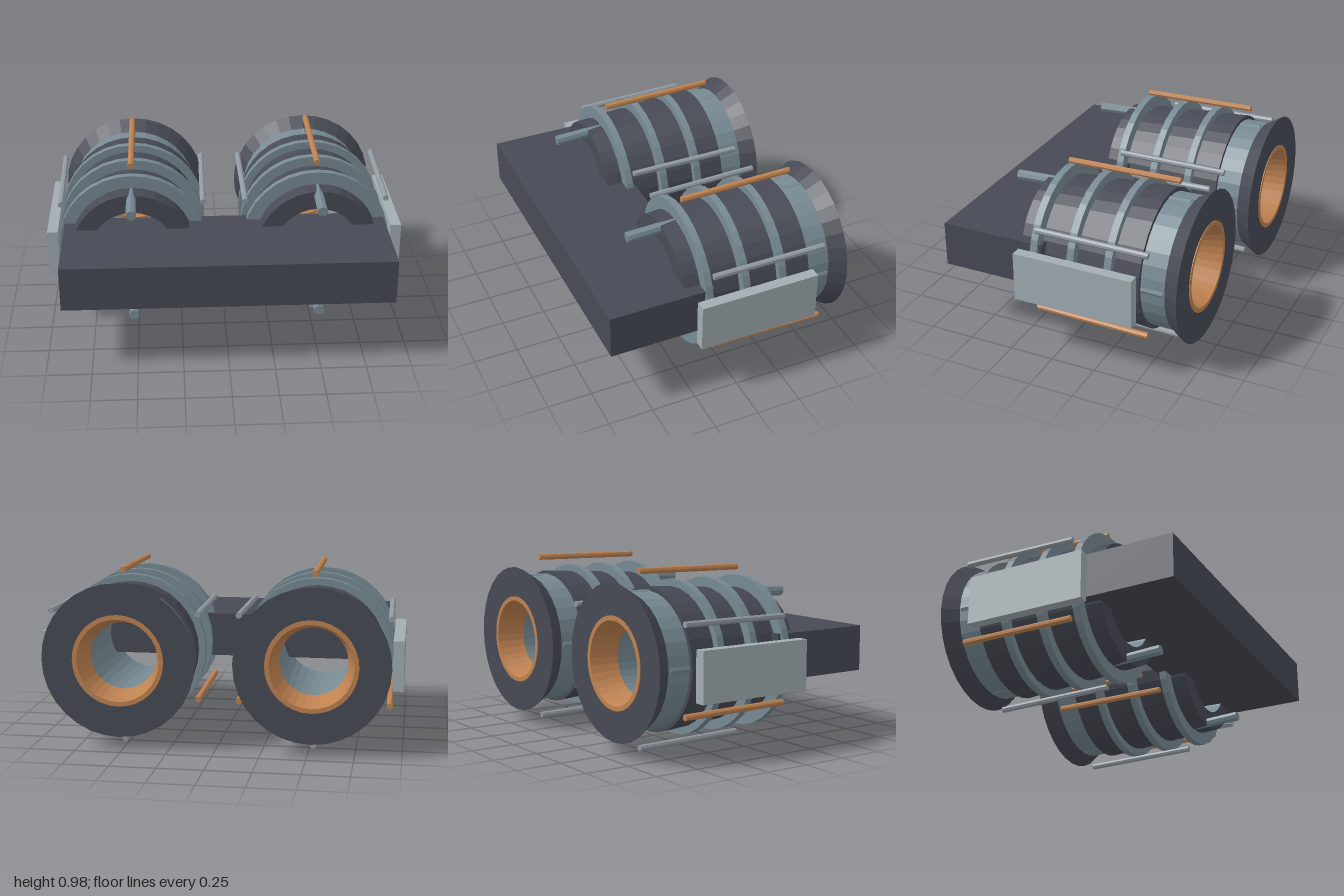
import * as THREE from 'three';

const mat = (name, color, flatShading = true) => {
  const m = new THREE.MeshStandardMaterial({ color, flatShading });
  m.name = name;
  return m;
};

export function createModel() {
  const model = new THREE.Group();
  const dark = mat('charcoal', 0x474a55);
  const steel = mat('blueGrey', 0x778a93);
  const silver = mat('silver', 0x929ba3);
  const copper = mat('copper', 0xbf8250);
  const pale = mat('paleGrey', 0xa2adb2);

  const add = (parent, name, geometry, material) => {
    const mesh = new THREE.Mesh(geometry, material);
    mesh.name = name;
    parent.add(mesh);
    return mesh;
  };

  // Profile of [radius, z] turned around the z axis
  const turned = (points) => new THREE.LatheGeometry(
    points.map(([r, z]) => new THREE.Vector2(r, z)), 32).rotateX(Math.PI / 2);

  // Rod lying along z at an angle, flaring outward toward the back
  const rod = (parent, name, angle, [r0, z0], [r1, z1], front, back, material) => {
    const length = Math.hypot(z0 - z1, r1 - r0);
    const g = new THREE.CylinderGeometry(front, back, length, 8);
    g.rotateX(Math.PI / 2);
    g.rotateY(-Math.atan2(r1 - r0, z0 - z1));
    g.translate((r0 + r1) / 2, 0, (z0 + z1) / 2);
    g.rotateZ(angle);
    add(parent, name, g, material);
  };

  const box = (name, w, h, d, x, y, z, material) =>
    add(model, name, new THREE.BoxGeometry(w, h, d), material).position.set(x, y, z);

  for (const side of [1, -1]) {
    const engine = new THREE.Group();
    engine.name = side > 0 ? 'leftEngine' : 'rightEngine';
    engine.position.set(side * 0.52, 0.493, 0);
    model.add(engine);

    // Tapered casing, rear neck and flared nozzle
    add(engine, 'casing', turned([[0.36, -0.465], [0.388, -0.465], [0.34, 0.245], [0.235, 0.245]]), dark);
    add(engine, 'neck', turned([[0.367, -0.6], [0.365, -0.45]]), steel);
    add(engine, 'nozzle', turned([[0.245, -0.686], [0.42, -0.686], [0.36, -0.588]]), dark);

    // Open bore with a copper throat at the back
    add(engine, 'boreLiner', turned([[0.235, 0.245], [0.205, -0.54]]), steel);
    add(engine, 'throat', turned([[0.206, -0.54], [0.185, -0.54], [0.225, -0.69], [0.25, -0.69], [0.25, -0.68]]), copper);

    // Reinforcing bands
    for (const z of [0.135, -0.08, -0.295]) {
      add(engine, 'band', turned([[0.33, z - 0.02], [0.417, z - 0.02], [0.417, z + 0.02], [0.33, z + 0.02]]), steel);
    }

    // Long struts passing through the casing
    for (let i = 0; i < 4; i++) {
      rod(engine, 'strut', i * Math.PI / 2, [0.309, 0.434], [0.354, -0.59], 0.029, 0.021, steel);
    }

    // Outer rods, alternating silver and copper
    for (let i = 0; i < 6; i++) {
      const angle = Math.PI / 6 + i * Math.PI / 3;
      rod(engine, 'outerRod', angle, [0.461, 0.118], [0.471, -0.528], 0.017, 0.017, i % 2 ? copper : silver);
    }

    // Outboard plate
    box('sidePanel', 0.06, 0.275, 0.68, side * 0.968, 0.463, -0.125, pale);
  }

  // Slab joining both engines at the front
  box('crossSlab', 1.805, 0.25, 0.592, 0, 0.5, 0.394, dark);

  return model;
}
